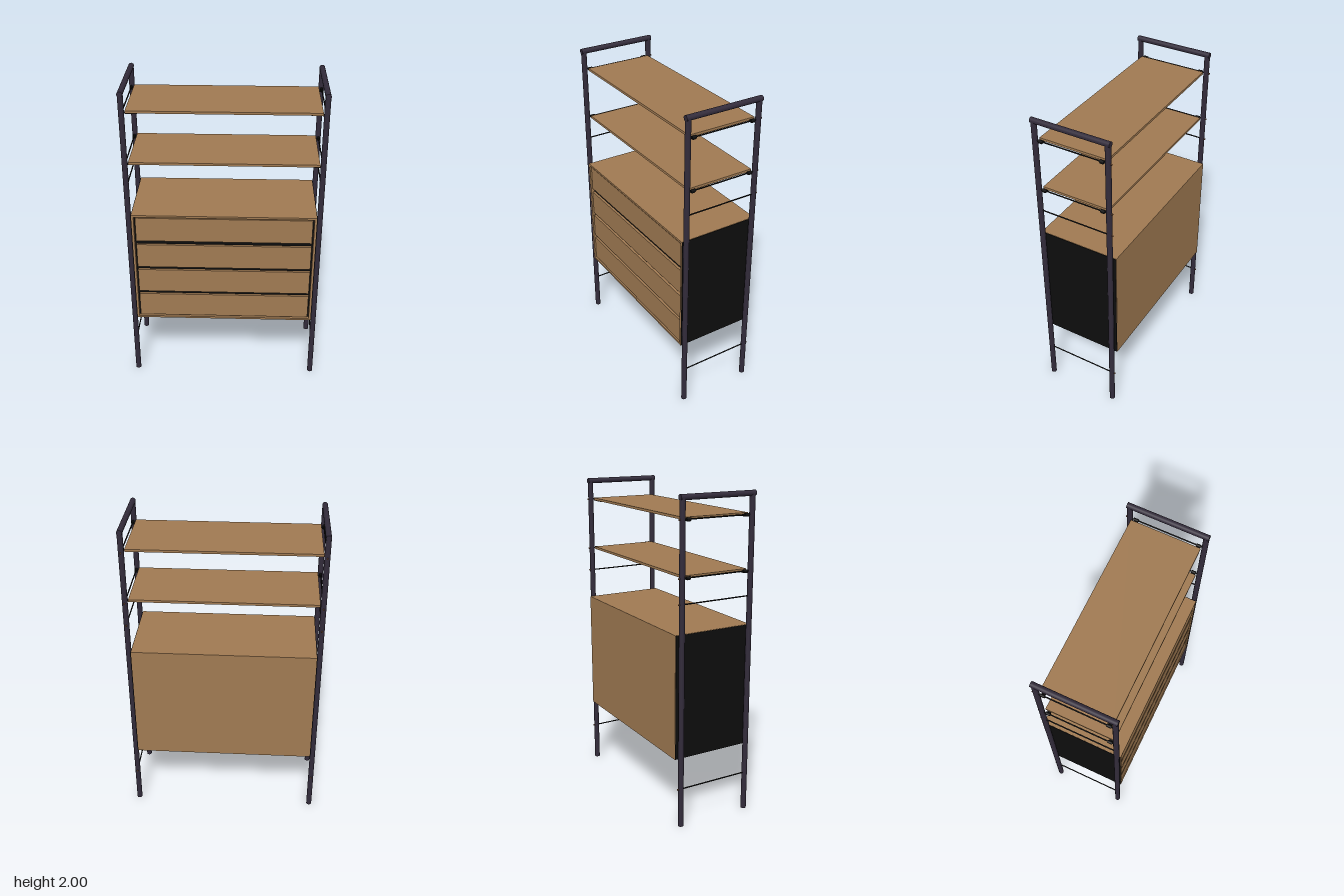
import * as THREE from 'three';

const mat = (name, color) => Object.assign(new THREE.MeshStandardMaterial({ color }), { name });

export function createModel() {
  const wood = mat('walnut wood', 0xa07a52);
  const steel = mat('dark tube steel', 0x322b3a);
  const black = mat('black lacquer', 0x0d0d0d);
  const brass = mat('bronze nut', 0x7a5238);

  const model = new THREE.Group();
  model.name = 'shelvingCabinet';

  // Box given by its minimum and maximum corners
  function box(parent, name, material, [x0, y0, z0], [x1, y1, z1]) {
    const m = new THREE.Mesh(new THREE.BoxGeometry(x1 - x0, y1 - y0, z1 - z0), material);
    m.position.set((x0 + x1) / 2, (y0 + y1) / 2, (z0 + z1) / 2);
    m.name = name;
    parent.add(m);
  }
  // Cylinder running between two points
  function rod(parent, name, material, a, b, r, sides = 24) {
    const p = new THREE.Vector3(...a), q = new THREE.Vector3(...b);
    const dir = q.clone().sub(p);
    const m = new THREE.Mesh(new THREE.CylinderGeometry(r, r, dir.length(), sides), material);
    m.position.copy(p).add(q).multiplyScalar(0.5);
    m.quaternion.setFromUnitVectors(new THREE.Vector3(0, 1, 0), dir.normalize());
    m.name = name;
    parent.add(m);
  }

  const R = 0.017, frontZ = 0.238, backZ = -0.229;
  const shelfLevels = [1.535, 1.862];
  const rodLevels = [0.245, 1.385, ...shelfLevels];

  // Side frames: two posts, a top rail and thin cross rods
  for (const s of [1, -1]) {
    const x = s * 0.587;
    const frame = new THREE.Group();
    frame.name = s > 0 ? 'leftFrame' : 'rightFrame';
    model.add(frame);
    rod(frame, 'frontPost', steel, [x, 0, frontZ], [x, 2 - R, frontZ], R);
    rod(frame, 'backPost', steel, [x, 0, backZ], [x, 2 - R, backZ], R);
    rod(frame, 'topRail', steel, [x, 2 - R, backZ - R], [x, 2 - R, frontZ + R], R);
    for (const y of rodLevels) {
      rod(frame, 'crossRod', black, [x, y, backZ], [x, y, frontZ], 0.004, 10);
      rod(frame, 'rodNut', brass, [x, y, -0.253], [x, y, backZ], 0.005, 10);
    }
    // Clips that hang the shelves on the cross rods
    for (const y of shelfLevels) {
      for (const z of [-0.19, 0.2]) {
        const xa = s * 0.5, xb = s * 0.594;
        box(frame, 'shelfClip', black, [Math.min(xa, xb), y - 0.011, z - 0.011],
          [Math.max(xa, xb), y - 0.005, z + 0.011]);
        rod(frame, 'clipSleeve', black, [x, y, z - 0.014], [x, y, z + 0.014], 0.009, 12);
      }
    }
  }

  // Open shelves
  for (const y of shelfLevels) {
    box(model, 'shelf', wood, [-0.57, y - 0.005, -0.215], [0.57, y + 0.01, 0.22]);
  }

  // Cabinet carcass with black side panels
  const cabinet = new THREE.Group();
  cabinet.name = 'cabinet';
  model.add(cabinet);
  const y0 = 0.435, y1 = 1.204, w = 0.568, back = -0.26, front = 0.256, t = 0.013;
  box(cabinet, 'topBoard', wood, [-w, y1 - t, back], [w, y1, front]);
  box(cabinet, 'bottomBoard', wood, [-w, y0, back], [w, y0 + t, front]);
  box(cabinet, 'backBoard', wood, [-w, y0 + t, back], [w, y1 - t, back + t]);
  for (const s of [1, -1]) {
    const a = s * (w - t), b = s * w, c = s * (w + 0.003);
    box(cabinet, 'sideBoard', wood, [Math.min(a, b), y0 + t, back + t], [Math.max(a, b), y1 - t, front]);
    box(cabinet, 'blackSidePanel', black, [Math.min(b, c), y0 + 0.002, back + 0.002],
      [Math.max(b, c), y1 - 0.002, front - 0.002]);
  }
  box(cabinet, 'darkInterior', black, [-w + t, y0 + t, back + t], [w - t, y1 - t, 0.234]);

  // Four drawer fronts with dark finger gaps between them
  const drawers = [[0.456, 0.62], [0.642, 0.806], [0.828, 0.992], [1.02, 1.182]];
  for (const [a, b] of drawers) {
    box(cabinet, 'drawerFront', wood, [-0.546, a, 0.234], [0.546, b, 0.25]);
  }
  return model;
}
